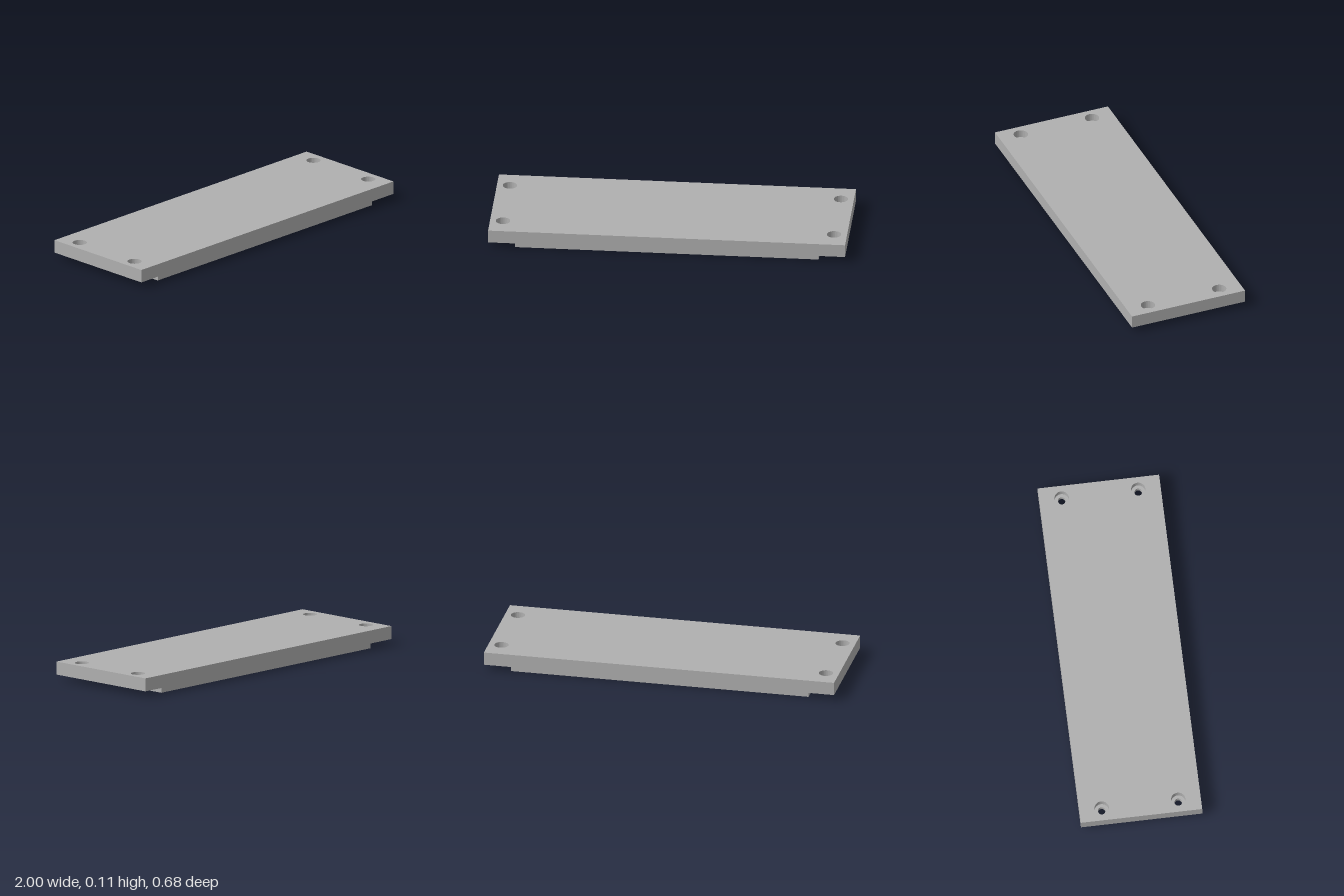
import * as THREE from 'three';
import { toCreasedNormals } from 'three/addons/utils/BufferGeometryUtils.js';

function rect(target, halfX, halfZ) {
  target.moveTo(-halfX, -halfZ);
  target.lineTo(halfX, -halfZ);
  target.lineTo(halfX, halfZ);
  target.lineTo(-halfX, halfZ);
  target.closePath();
  return target;
}

// Horizontal slab between two heights, with holes cut straight through
function slab(name, halfX, halfZ, y0, y1, holes, material) {
  const shape = rect(new THREE.Shape(), halfX, halfZ);
  shape.holes.push(...holes);
  const extruded = new THREE.ExtrudeGeometry(shape, {
    depth: y1 - y0, bevelEnabled: false, curveSegments: 40,
  });
  extruded.rotateX(-Math.PI / 2).translate(0, y0, 0);
  const mesh = new THREE.Mesh(toCreasedNormals(extruded, 0.6), material);
  mesh.name = name;
  return mesh;
}

// One round hole near each corner
function cornerHoles(radius) {
  const holes = [];
  for (const x of [-0.927, 0.927]) {
    for (const z of [-0.215, 0.215]) {
      holes.push(new THREE.Path().absarc(x, z, radius, 0, Math.PI * 2, true));
    }
  }
  return holes;
}

export function createModel() {
  const grey = new THREE.MeshStandardMaterial({ color: 0xb0b0b0 });
  grey.name = 'plain grey';

  const bottom = 0.033, step = 0.062, top = 0.107;
  const group = new THREE.Group();
  group.name = 'coverPlate';

  // Plate in two layers: narrow screw holes below, wide counterbores above
  group.add(slab('plateLower', 1, 0.341, bottom, step, cornerHoles(0.021), grey));
  group.add(slab('plateUpper', 1, 0.341, step, top, cornerHoles(0.04), grey));

  // Thin locating rim under the plate
  const wall = 0.023;
  const opening = rect(new THREE.Path(), 0.85 - wall, 0.321 - wall);
  group.add(slab('locatingRim', 0.85, 0.321, 0, bottom, [opening], grey));

  return group;
}
